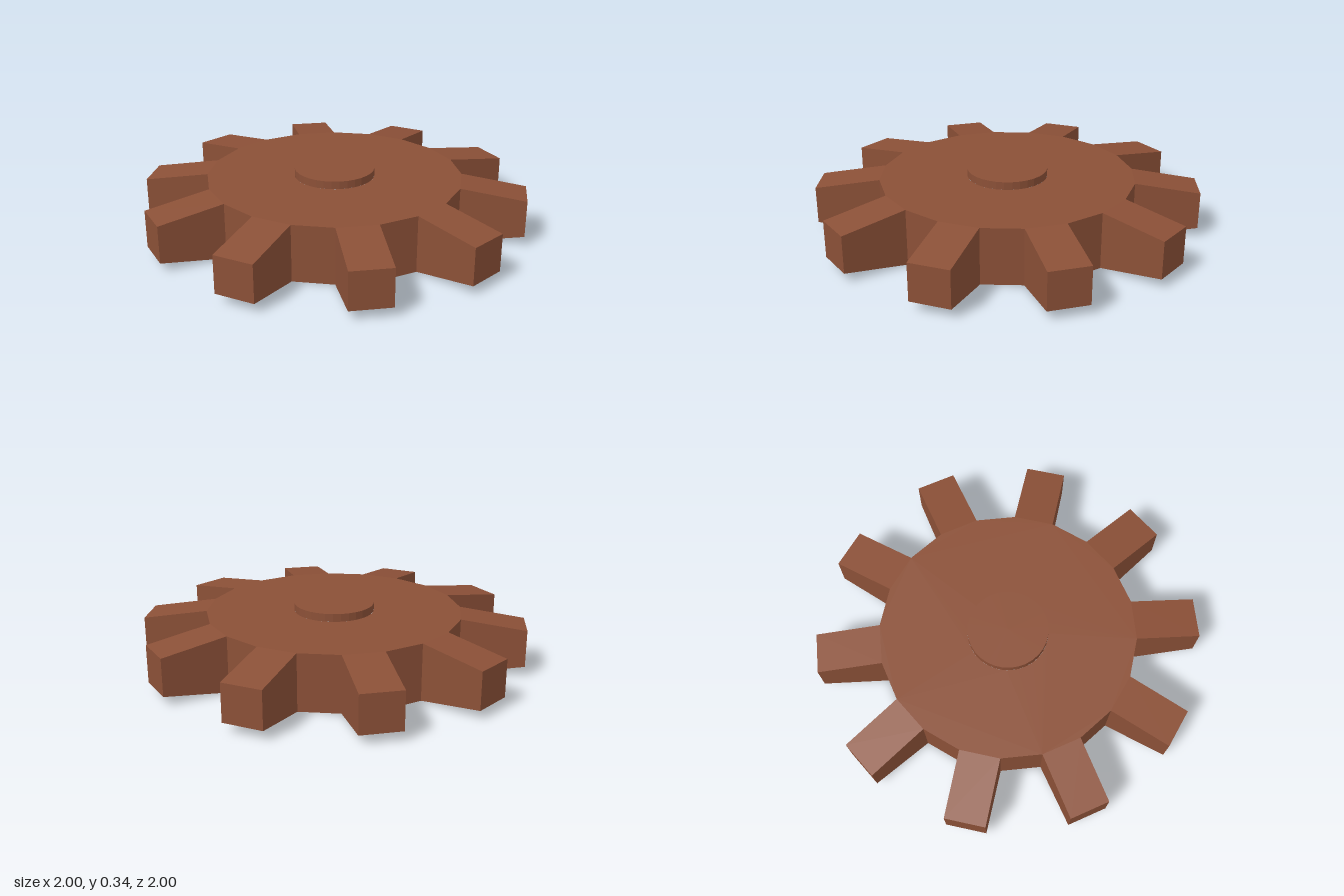
import * as THREE from 'three';

const TEETH = 10;
const STEP = (Math.PI * 2) / TEETH;
const R = 0.667;                        // rim corner radius
const HALF = R * Math.sin(STEP / 4);    // half width of a tooth or gap
const Z0 = R * Math.cos(STEP / 4);      // rim face distance
const Z1 = Z0 + 0.337;                  // tooth tip distance
const TOP = 0.295, TIP_TOP = 0.245, TIP_LOW = 0.05;
const HUB_R = 0.209, HUB_TOP = 0.336;

// Flat quads, corners counter-clockwise seen from outside
function quads(list) {
  const pos = [];
  for (const [a, b, c, d] of list) pos.push(...a, ...b, ...c, ...a, ...c, ...d);
  const g = new THREE.BufferGeometry();
  g.setAttribute('position', new THREE.Float32BufferAttribute(pos, 3));
  g.computeVertexNormals();
  return g;
}

export function createModel() {
  const model = new THREE.Group();
  model.name = 'gear';
  const mat = new THREE.MeshStandardMaterial({ color: 0x8b5037, flatShading: true, side: THREE.DoubleSide });
  const add = (name, geometry, angle = 0) => {
    const mesh = new THREE.Mesh(geometry, mat);
    mesh.name = name;
    mesh.rotation.y = angle;
    model.add(mesh);
    return mesh;
  };

  // Top plate: 20-sided, with a round opening under the hub
  const outline = [];
  for (let k = 0; k < TEETH * 2; k++) {
    const a = (k * STEP) / 2;
    outline.push(new THREE.Vector2(R * Math.sin(a), R * Math.cos(a)));
  }
  const shape = new THREE.Shape(outline);
  shape.holes.push(new THREE.Path().absarc(0, 0, HUB_R, 0, Math.PI * 2, false));
  add('topPlate', new THREE.ShapeGeometry(shape, 32).rotateX(-Math.PI / 2)).position.y = TOP;

  // Raised hub, hollow underneath
  const profile = [[HUB_R, TOP], [HUB_R, HUB_TOP], [0, HUB_TOP]].map(([x, y]) => new THREE.Vector2(x, y));
  add('hub', new THREE.LatheGeometry(profile, 32));

  // Tapered tooth, open below and towards the hollow body
  const lowL = [-HALF, 0, Z0], lowR = [HALF, 0, Z0], topL = [-HALF, TOP, Z0], topR = [HALF, TOP, Z0];
  const tipLowL = [-HALF, TIP_LOW, Z1], tipLowR = [HALF, TIP_LOW, Z1];
  const tipTopL = [-HALF, TIP_TOP, Z1], tipTopR = [HALF, TIP_TOP, Z1];
  const tooth = quads([
    [tipLowL, tipLowR, tipTopR, tipTopL],
    [tipTopL, tipTopR, topR, topL],
    [tipLowR, lowR, topR, tipTopR],
    [lowL, tipLowL, tipTopL, topL],
  ]);

  // Rim wall filling the gap between two teeth
  const wall = quads([[lowL, lowR, topR, topL]]);

  for (let i = 0; i < TEETH; i++) {
    add('rimWall', wall, (i + 0.25) * STEP);
    add('tooth', tooth, (i + 0.75) * STEP);
  }
  return model;
}
